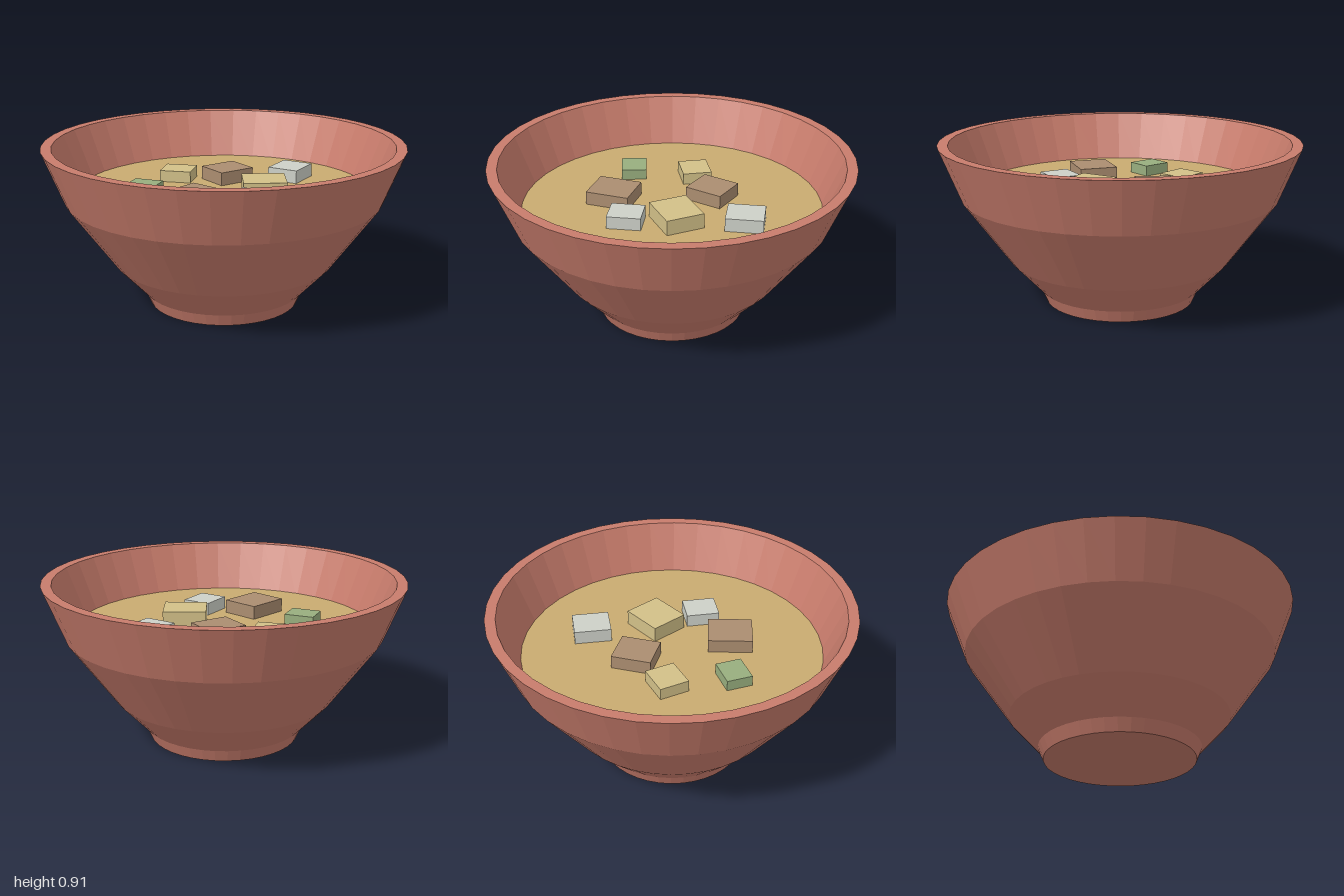
import * as THREE from 'three';

const SEGMENTS = 40;
const SOUP_LEVEL = 0.64;

export function createModel() {
  const model = new THREE.Group();
  const add = (name, geometry, color) => {
    const material = new THREE.MeshStandardMaterial({ color, flatShading: true });
    const mesh = new THREE.Mesh(geometry, material);
    mesh.name = name;
    model.add(mesh);
    return mesh;
  };

  // Bowl: closed profile from the base centre, up the outside, over the rim, down the inside
  const profile = [
    [0, 0], [0.42, 0], [0.45, 0.07], [0.615, 0.245], [0.88, 0.61], [1, 0.91],
    [0.942, 0.91], [0.82, 0.61], [0.56, 0.27], [0.38, 0.12], [0, 0.12],
  ].map(([r, y]) => new THREE.Vector2(r, y));
  add('bowl', new THREE.LatheGeometry(profile, SEGMENTS), 0xc87c6c);

  // Soup surface, meeting the inner wall
  const soup = add('soup', new THREE.CircleGeometry(0.832, SEGMENTS), 0xc9ab70);
  soup.rotation.x = -Math.PI / 2;
  soup.position.y = SOUP_LEVEL;

  // Floating chunks: name, colour, x, z, width, depth, top height, turn
  const meat = 0xab8d70, potato = 0xd2c088, tofu = 0xcdd0c8, herb = 0x98ae7e;
  const chunks = [
    ['meatChunk', meat, -0.134, -0.192, 0.2, 0.22, 0.715, -0.26],
    ['meatChunk', meat, 0.058, 0.322, 0.217, 0.245, 0.715, -0.015],
    ['potatoChunk', potato, -0.36, -0.022, 0.18, 0.165, 0.705, 0.48],
    ['potatoChunk', potato, 0.211, -0.094, 0.24, 0.216, 0.725, 0.73],
    ['tofuChunk', tofu, 0.126, -0.453, 0.18, 0.205, 0.715, 0.17],
    ['tofuChunk', tofu, 0.3, 0.16, 0.163, 0.185, 0.71, 0.18],
    ['herbChunk', herb, -0.296, 0.33, 0.166, 0.143, 0.7, 0.35],
  ];
  for (const [name, color, x, z, width, depth, top, turn] of chunks) {
    const height = (top - SOUP_LEVEL) * 1.5; // the lower third is submerged
    const chunk = add(name, new THREE.BoxGeometry(width, height, depth), color);
    chunk.position.set(x, top - height / 2, z);
    chunk.rotation.y = turn;
  }

  return model;
}
